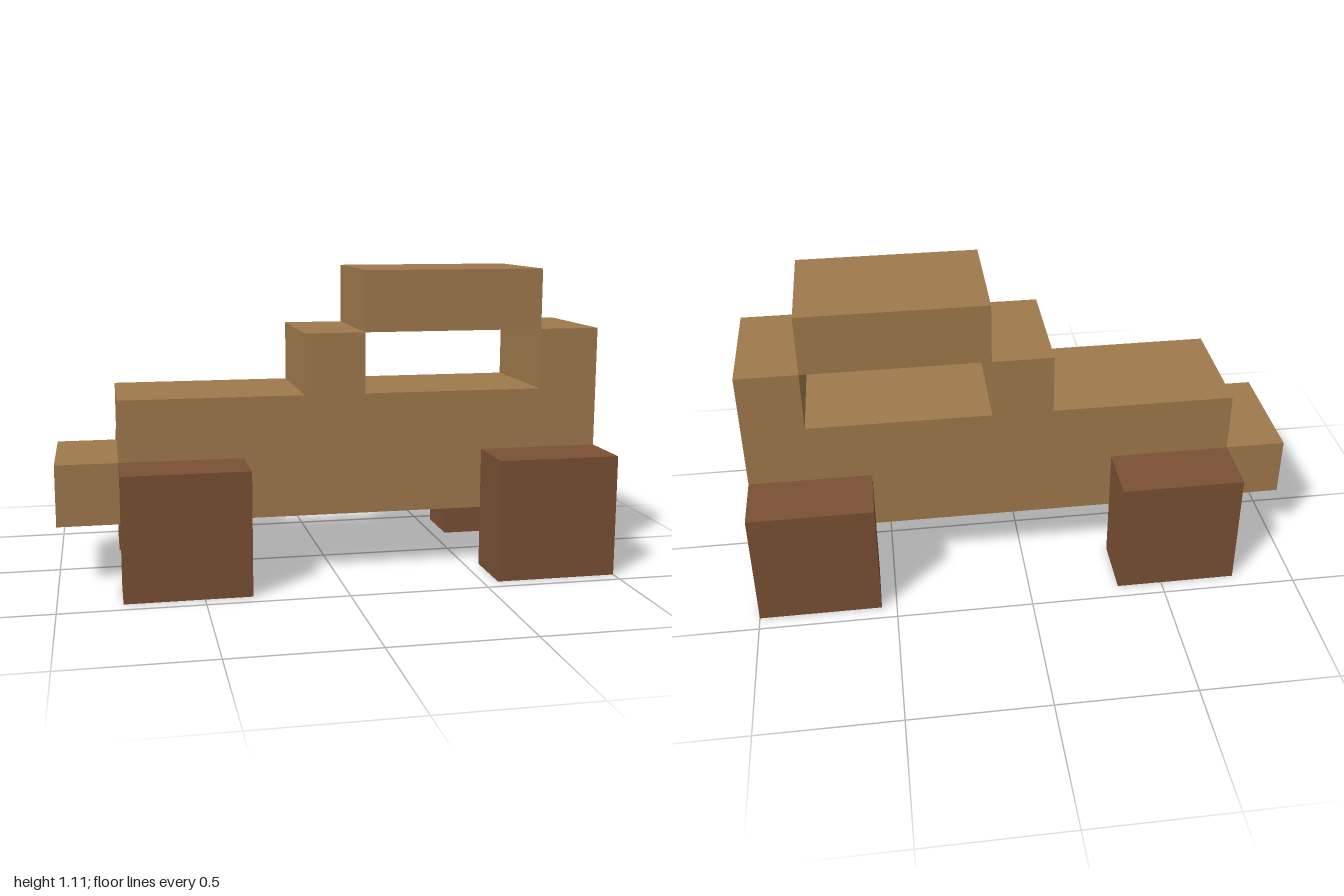
import * as THREE from 'three';

const U = 2 / 9; // one block

export function createModel() {
  const model = new THREE.Group();
  model.name = 'blockCar';
  const lightWood = new THREE.MeshStandardMaterial({ color: 0xa0794d });
  lightWood.name = 'light wood';
  const darkWood = new THREE.MeshStandardMaterial({ color: 0x7a5034 });
  darkWood.name = 'dark wood';

  // Box measured in blocks: corner x, bottom y, centre z, then size
  function block(name, material, x, y, z, w, h, d) {
    const mesh = new THREE.Mesh(new THREE.BoxGeometry(w * U, h * U, d * U), material);
    mesh.position.set((x + w / 2) * U - 1, (y + h / 2) * U, z * U);
    mesh.name = name;
    model.add(mesh);
  }

  // Body outline: nose step, bonnet, windscreen post, cabin floor, rear post
  const outline = [
    [0, 1], [9, 1], [9, 4], [8, 4], [8, 3], [5, 3],
    [5, 4], [4, 4], [4, 3], [1, 3], [1, 2], [0, 2],
  ].map(([x, y]) => new THREE.Vector2(x * U - 1, y * U));
  const bodyGeometry = new THREE.ExtrudeGeometry(new THREE.Shape(outline), {
    depth: 2 * U,
    bevelEnabled: false,
  });
  bodyGeometry.translate(0, 0, -U);
  const body = new THREE.Mesh(bodyGeometry, lightWood);
  body.name = 'body';
  model.add(body);

  // Roof, meeting the posts along its lower edges
  block('roof', lightWood, 5, 4, 0, 3, 1, 2);

  // Square wheels on both sides
  for (const [side, z] of [['Left', 1.5], ['Right', -1.5]]) {
    block('noseWheel' + side, darkWood, 1, 0, z, 2, 2, 1);
    block('tailWheel' + side, darkWood, 7, 0, z, 2, 2, 1);
  }
  return model;
}
